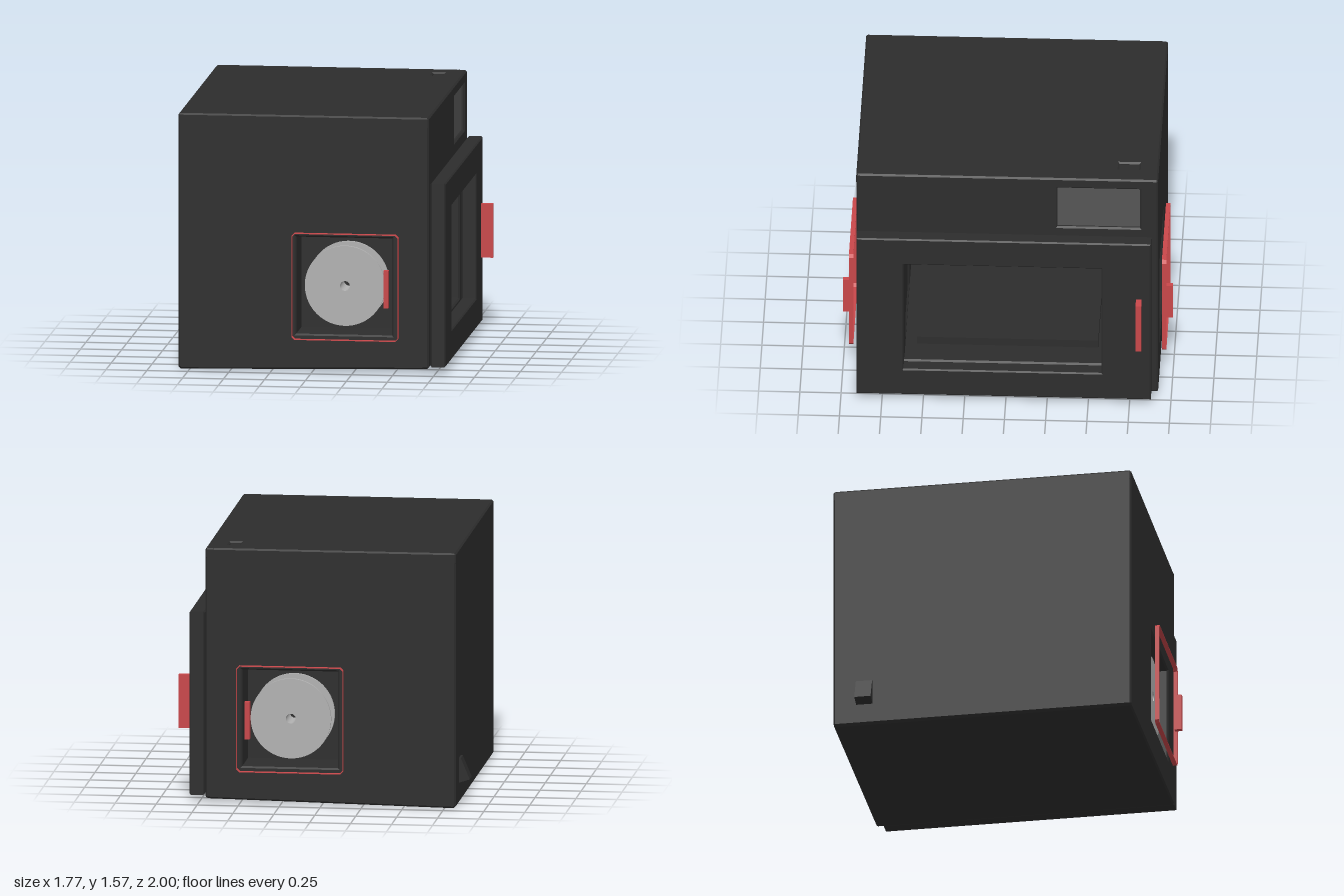
import * as THREE from 'three';

const mat = (name, color) => {
  const m = new THREE.MeshStandardMaterial({ color });
  m.name = name;
  return m;
};

// Rectangle as a list of points, with corners cut by c
function rect(x0, y0, x1, y1, c = 0) {
  const p = c
    ? [[x0 + c, y0], [x1 - c, y0], [x1, y0 + c], [x1, y1 - c], [x1 - c, y1], [x0 + c, y1], [x0, y1 - c], [x0, y0 + c]]
    : [[x0, y0], [x1, y0], [x1, y1], [x0, y1]];
  return p.map(([x, y]) => new THREE.Vector2(x, y));
}

// Slab from an outline with holes, running from a to b, with chamfered rims
function slab(outline, holes, a, b, bevel = 0) {
  const shape = new THREE.Shape(outline);
  shape.holes = holes.map((h) => new THREE.Path(h));
  return new THREE.ExtrudeGeometry(shape, {
    depth: b - a - 2 * bevel, bevelEnabled: bevel > 0, bevelThickness: bevel,
    bevelSize: bevel, bevelOffset: -bevel, bevelSegments: 1,
  }).translate(0, 0, a + bevel);
}

function circle(r) {
  return new THREE.Path().absarc(0, 0, r, 0, Math.PI * 2).getPoints(64).slice(0, -1);
}

export function createModel() {
  const root = new THREE.Group();
  root.name = 'enclosedMachine';
  const dark = mat('charcoal', 0x2d2d2d);
  const screen = mat('screenGrey', 0x555555);
  const grey = mat('spoolGrey', 0xb2b2b2);
  const red = mat('red', 0xc9474a);

  const add = (name, geometry, material, parent = root) => {
    const m = new THREE.Mesh(geometry, material);
    m.name = name;
    parent.add(m);
    return m;
  };
  const box = (name, material, x0, x1, y0, y1, z0, z1, parent) =>
    add(name, new THREE.BoxGeometry(x1 - x0, y1 - y0, z1 - z0)
      .translate((x0 + x1) / 2, (y0 + y1) / 2, (z0 + z1) / 2), material, parent);
  const pts = (list) => list.map(([x, y]) => new THREE.Vector2(x, y));

  // Front and back blocks, each with a square spool bay
  const outline = pts([[-0.805, 0], [0.68, 0.027], [0.68, 1.54], [0.665, 1.555], [-0.805, 1.555], [-0.82, 1.54], [-0.82, 0.015]]);
  const bay = rect(-0.1, 0.23, 0.485, 0.825);
  add('frontBlock', slab(outline, [bay], 0.62, 0.91, 0.01), dark);
  add('backBlock', slab(outline, [bay], -0.92, -0.58, 0.01), dark);
  box('frontBayWall', dark, -0.13, 0.515, 0.2, 0.855, 0.63, 0.65);
  box('backBayWall', dark, -0.13, 0.515, 0.2, 0.855, -0.63, -0.6);

  // Middle section, open to the right for the chamber
  add('chamberShell', slab(pts([
    [-0.805, 0], [0.68, 0.027], [0.68, 0.2], [-0.62, 0.2], [-0.62, 1.0], [0.68, 1.0],
    [0.68, 1.54], [-0.805, 1.54], [-0.82, 1.525], [-0.82, 0.015],
  ]), [], -0.6, 0.64), dark);

  // Right and top skins (right skin is drawn with its horizontal axis along -z)
  const windowHole = rect(-0.62, 0.225, 0.58, 0.985);
  const rightSkin = slab(rect(-0.91, 0.03, 0.92, 1.57, 0.008),
    [windowHole, rect(0.31, 1.22, 0.81, 1.5)], 0.65, 0.71, 0.01);
  add('rightSkin', rightSkin.rotateY(Math.PI / 2), dark);
  const topSkin = slab(rect(-0.82, -0.91, 0.71, 0.92, 0.008),
    [rect(0.52, 0.68, 0.585, 0.8)], 1.5, 1.57, 0.01);
  add('topSkin', topSkin.rotateX(-Math.PI / 2), dark);
  box('display', screen, 0.682, 0.69, 1.215, 1.505, -0.815, -0.305);

  // Print bed inside the chamber
  box('bed', dark, -0.57, 0.53, 0.225, 0.275, -0.55, 0.55);

  // Door with window opening and handle
  const door = slab(rect(-0.905, 0.04, 0.88, 1.17), [windowHole], 0.72, 0.812, 0.008);
  add('door', door.rotateY(Math.PI / 2), dark);
  box('doorHandle', red, 0.808, 0.885, 0.44, 0.77, -0.825, -0.79);

  // Chute low on the left side
  add('chute', slab(pts([[-0.81, 0.13], [-0.81, 0.285], [-0.832, 0.285], [-0.887, 0.155]]), [], -0.78, -0.68), dark);

  // Spools, rims and hatch handles on the front and back
  for (const [side, s, dx, face] of [['front', 1, 0, 0.87], ['back', -1, -0.013, 0.88]]) {
    const spool = new THREE.Group();
    spool.name = side + 'Spool';
    spool.position.set(0.193, 0.523, s * (face - 0.1));
    root.add(spool);
    const hole = circle(0.03);
    add('outerFlange', slab(circle(0.245), [hole], 0.08, 0.1), grey, spool);
    add('innerFlange', slab(circle(0.245), [hole], -0.1, -0.08), grey, spool);
    add('spoolCore', slab(circle(0.13), [hole], -0.08, 0.08), grey, spool);

    const z0 = s > 0 ? 0.935 : -0.962;
    add(side + 'HatchRim', slab(rect(-0.123 + dx, 0.2, 0.53 + dx, 0.855, 0.018),
      [rect(-0.119 + dx, 0.204, 0.526 + dx, 0.851, 0.017)], z0, z0 + 0.027), red);
    const h = s > 0 ? [0.955, 1] : [-1, -0.955];
    box(side + 'HatchHandle', red, 0.444 + dx, 0.474 + dx, 0.41, 0.64, h[0], h[1]);
  }
  return root;
}
